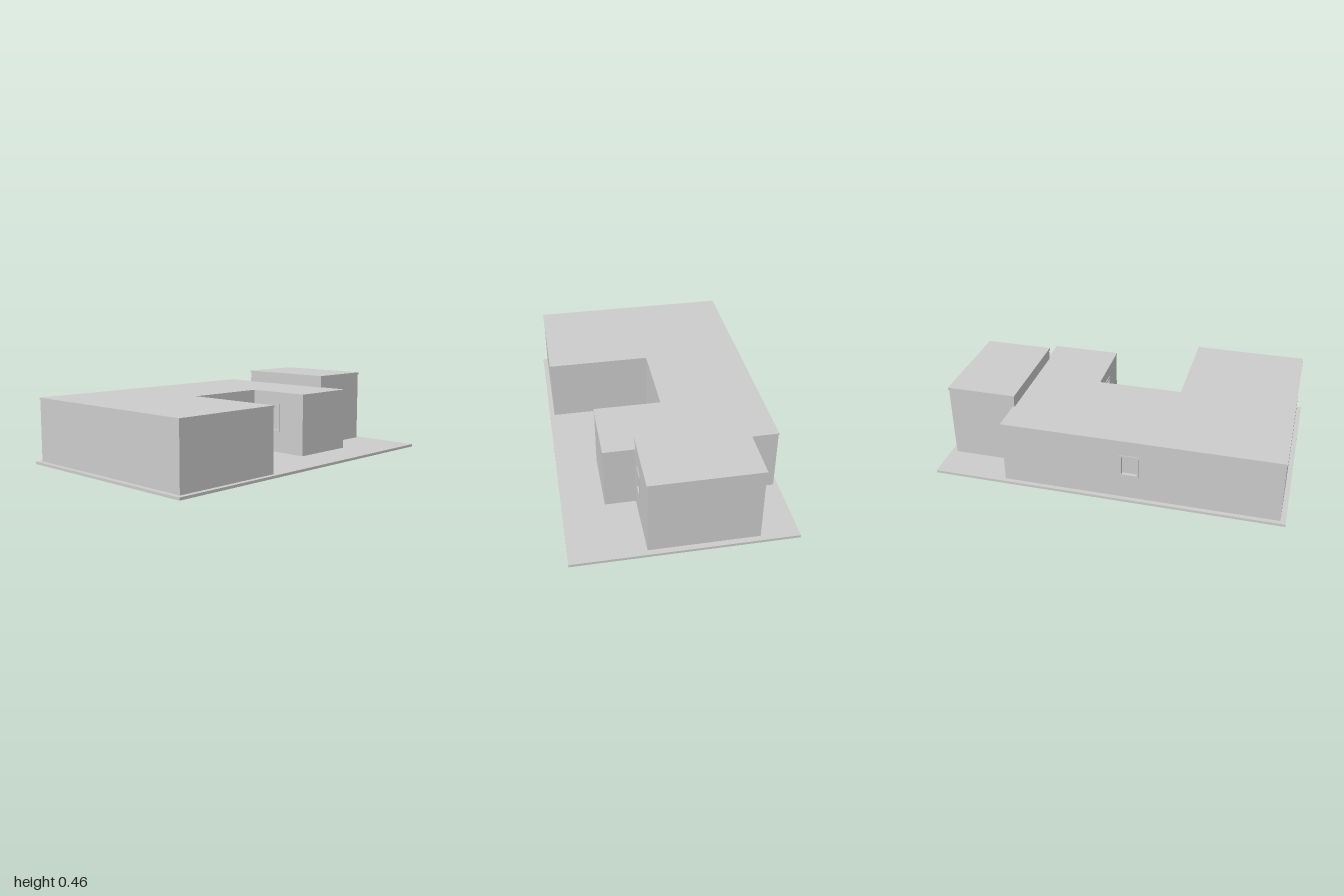
import * as THREE from 'three';

const BASE = 0.015;   // plinth thickness
const WALL = 0.03;    // wall thickness

// Closed rectangle path, used for outlines and openings
function rectPath(PathType, x0, y0, x1, y1) {
  const p = new PathType();
  p.moveTo(x0, y0);
  p.lineTo(x1, y0);
  p.lineTo(x1, y1);
  p.lineTo(x0, y1);
  p.closePath();
  return p;
}

// Moves every edge of a right-angled footprint outward by d
function grow(points, d) {
  const n = points.length;
  const normal = (i) => {
    const [ax, az] = points[i % n], [bx, bz] = points[(i + 1) % n];
    return [-Math.sign(bz - az), Math.sign(bx - ax)];
  };
  return points.map(([x, z], i) => {
    const a = normal(i + n - 1), b = normal(i);
    return [x + d * (a[0] + b[0]), z + d * (a[1] + b[1])];
  });
}

export function createModel() {
  const model = new THREE.Group();
  model.name = 'house';
  const plaster = new THREE.MeshStandardMaterial({ color: 0xcccccc });
  plaster.name = 'light grey';

  const add = (parent, name, geometry) => {
    const mesh = new THREE.Mesh(geometry, plaster);
    mesh.name = name;
    parent.add(mesh);
    return mesh;
  };
  const extrude = (shape, depth) => new THREE.ExtrudeGeometry(shape, { depth, bevelEnabled: false });

  // Window in a wall's own plane: projecting frame and recessed pane
  function addWindow(wall, [u0, v0, u1, v1]) {
    const b = 0.012;
    const frame = rectPath(THREE.Shape, u0, v0, u1, v1);
    frame.holes.push(rectPath(THREE.Path, u0 + b, v0 + b, u1 - b, v1 - b));
    add(wall, 'windowFrame', extrude(frame, 0.024)).position.z = -0.02;
    const pane = add(wall, 'windowPane', new THREE.BoxGeometry(u1 - u0, v1 - v0, 0.004));
    pane.position.set((u0 + u1) / 2, (v0 + v1) / 2, -0.018);
  }

  // Block of walls around a footprint, closed by a slightly overhanging roof slab
  function addBlock(name, points, top, slab, lip, windows) {
    const block = new THREE.Group();
    block.name = name;
    points.forEach(([ax, az], i) => {
      const [bx, bz] = points[(i + 1) % points.length];
      const wall = new THREE.Group();
      wall.name = 'wall';
      wall.position.set(ax, 0, az);
      wall.rotation.y = Math.atan2(az - bz, bx - ax);
      const face = rectPath(THREE.Shape, 0, BASE, Math.hypot(bx - ax, bz - az), top - slab);
      if (windows[i]) {
        face.holes.push(rectPath(THREE.Path, ...windows[i]));
        addWindow(wall, windows[i]);
      }
      add(wall, 'wallPanel', extrude(face, WALL)).position.z = -WALL;
      block.add(wall);
    });
    const outline = new THREE.Shape(grow(points, lip).map(([x, z]) => new THREE.Vector2(x, -z)));
    const roof = extrude(outline, slab).rotateX(-Math.PI / 2);
    add(block, 'roof', roof).position.y = top - slab;
    model.add(block);
  }

  // Ground slab
  add(model, 'groundSlab', new THREE.BoxGeometry(2, BASE, 1.23)).position.y = BASE / 2;

  // Main building around the front courtyard; windows are [u0, v0, u1, v1] by wall index
  addBlock('mainBuilding', [
    [-0.972, 0.587], [-0.312, 0.587], [-0.312, -0.011], [0.184, -0.011],
    [0.184, 0.376], [0.579, 0.376], [0.582, 0.2], [0.582, -0.59], [-0.972, -0.59],
  ].filter((p, i) => i !== 6).map(([x, z]) => [x === 0.579 ? 0.582 : x, z]),
  0.382, 0.01, 0.003, {
    3: [0.08, 0.14, 0.21, 0.31],
    6: [0.67, 0.155, 0.78, 0.29],
  });

  // Taller side block
  addBlock('sideBlock', [
    [0.573, 0.202], [0.967, 0.202], [0.967, -0.404], [0.573, -0.404],
  ], 0.455, 0.014, 0.004, { 0: [0.067, 0.17, 0.157, 0.31] });

  return model;
}
